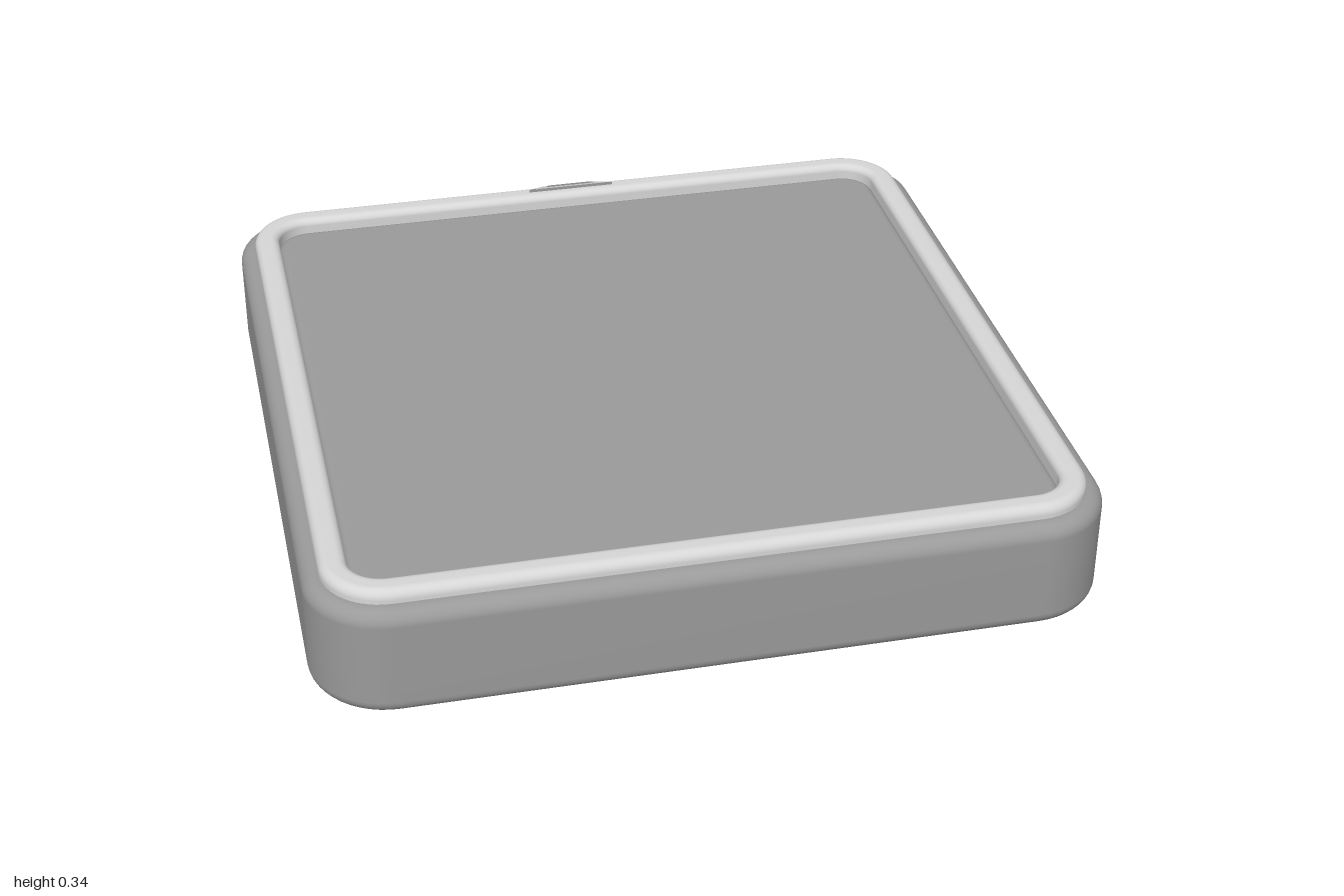
import * as THREE from 'three';

const CORNER = 0.8; // centre of every rounded corner
const SEGS = 12;

// One loop of a rounded square; half = 0 collapses it to the centre
function loop(half, y) {
  const pts = [];
  for (let q = 0; q < 4; q++) {
    const mid = (q + 0.5) * Math.PI / 2;
    const cx = Math.sign(Math.cos(mid)) * CORNER;
    const cz = Math.sign(Math.sin(mid)) * CORNER;
    for (let i = 0; i <= SEGS; i++) {
      const a = (q + i / SEGS) * Math.PI / 2;
      const r = half - CORNER;
      pts.push(half === 0 ? [0, y, 0] : [cx + r * Math.cos(a), y, cz + r * Math.sin(a)]);
    }
  }
  return pts;
}

// Sweeps a profile of [half size, height] points round the square
function sweep(profile) {
  const n = 4 * (SEGS + 1);
  const pos = profile.flatMap(([h, y]) => loop(h, y)).flat();
  const index = [];
  for (let i = 0; i < profile.length - 1; i++) {
    for (let j = 0; j < n; j++) {
      const a = i * n + j, b = i * n + (j + 1) % n;
      index.push(a, a + n, b, b, a + n, b + n);
    }
  }
  const g = new THREE.BufferGeometry();
  g.setAttribute('position', new THREE.Float32BufferAttribute(pos, 3));
  g.setIndex(index);
  g.computeVertexNormals();
  return g;
}

// Points of an elliptical arc in the profile plane
function arc(cx, cy, rx, ry, from, to, steps = 8) {
  return Array.from({ length: steps + 1 }, (_, i) => {
    const a = THREE.MathUtils.degToRad(from + (to - from) * i / steps);
    return [cx + rx * Math.cos(a), cy + ry * Math.sin(a)];
  });
}

// Solid between a lower and an upper four-sided outline
function block(lower, upper) {
  const c = [...lower, ...upper];
  const faces = [[3, 2, 1, 0], [4, 5, 6, 7]];
  for (let i = 0; i < 4; i++) {
    const k = (i + 1) % 4;
    faces.push([i, k, k + 4, i + 4]);
  }
  const pos = faces.flatMap(([p, q, r, s]) => [p, q, r, p, r, s].flatMap((v) => c[v]));
  const g = new THREE.BufferGeometry();
  g.setAttribute('position', new THREE.Float32BufferAttribute(pos, 3));
  g.computeVertexNormals();
  return g;
}

export function createModel() {
  const group = new THREE.Group();
  const grey = new THREE.MeshStandardMaterial({ color: 0x9a9a9a });
  grey.name = 'mid grey';
  const pale = new THREE.MeshStandardMaterial({ color: 0xd6d6d6 });
  pale.name = 'pale grey';

  const add = (name, geometry, material) => {
    const mesh = new THREE.Mesh(geometry, material);
    mesh.name = name;
    group.add(mesh);
  };

  // Tray body with rounded upper and lower edges
  add('body', sweep([
    ...arc(0.945, 0.015, 0.015, 0.015, 180, 270, 4),
    ...arc(0.96, 0.04, 0.04, 0.04, 270, 360),
    ...arc(0.96, 0.26, 0.04, 0.04, 0, 90),
    [0.92, 0.3],
  ]), grey);

  // Slightly recessed underside
  add('bottomPanel', sweep([[0, 0.012], [0.932, 0.012]]), grey);

  // Inset panel with a softened edge
  add('topPanel', sweep([
    [0.888, 0.27],
    ...arc(0.866, 0.282, 0.022, 0.018, 0, 90, 6),
    [0, 0.3],
  ]), grey);

  // Half-round raised rim
  add('rim', sweep([
    [0.957, 0.295],
    ...arc(0.932, 0.31, 0.025, 0.025, 0, 90),
    ...arc(0.91, 0.315, 0.022, 0.02, 90, 180),
    [0.888, 0.275],
  ]), pale);

  // Sloping latch on the back of the rim: corners on its slanted face
  const face = (innerL, innerR, outerL, outerR, zIn, zOut, lift) => {
    const y = (z) => 0.343 + lift - Math.max(0, -0.925 - z) * 0.5;
    return [
      [innerL, y(zIn), zIn], [innerR, y(zIn), zIn],
      [outerR, y(zOut), zOut], [outerL, y(zOut), zOut],
    ];
  };
  const plate = (top, depth) => block(top.map(([x, y, z]) => [x, y - depth, z]), top);

  add('latch', plate(face(-0.135, 0.115, -0.095, 0.075, -0.918, -0.978, 0), 0.035), grey);
  add('latchFace', plate(face(-0.115, 0.095, -0.085, 0.065, -0.921, -0.976, 0.002), 0.006), pale);
  add('latchSlot', plate(face(-0.08, 0.06, -0.065, 0.045, -0.932, -0.966, 0.004), 0.006), grey);

  return group;
}
